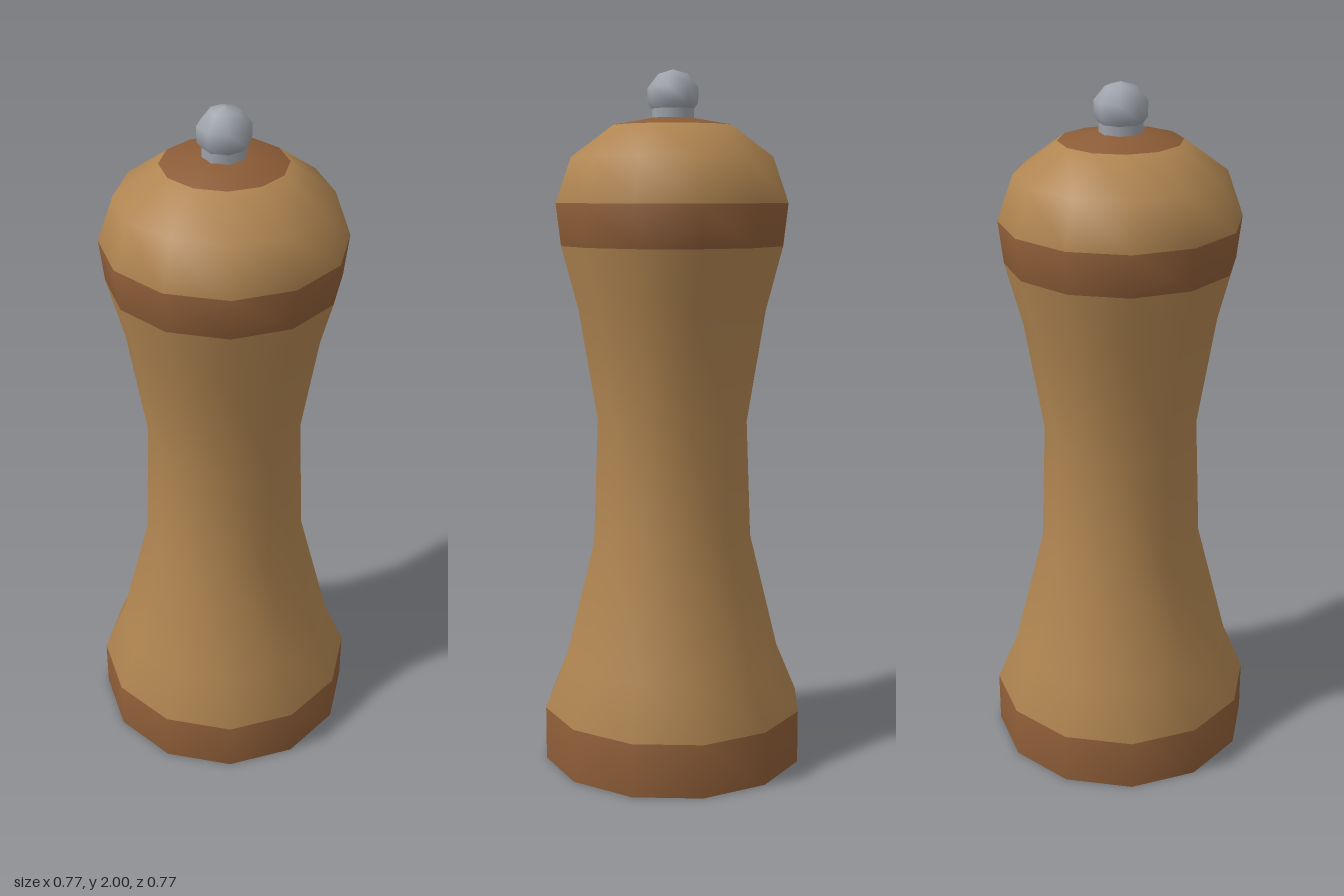
import * as THREE from 'three';

const material = (name, color) => {
  const m = new THREE.MeshStandardMaterial({ color });
  m.name = name;
  return m;
};

const lathe = (profile, sides, start = 0) =>
  new THREE.LatheGeometry(profile.map(([r, y]) => new THREE.Vector2(r, y)), sides, start);

export function createModel() {
  const lightWood = material('lightWood', 0xb08551);
  const darkWood = material('darkWood', 0x8c5c37);
  const metal = material('metal', 0x9fa3ab);
  const model = new THREE.Group();
  model.name = 'pepperMill';
  const add = (name, geometry, mat) => {
    const mesh = new THREE.Mesh(geometry, mat);
    mesh.name = name;
    model.add(mesh);
    return mesh;
  };

  // Turned body: radius, height, and colour of the ring above (0 light, 1 dark)
  const rings = [
    [0.384, 0, 1], [0.384, 0.155, 0], [0.323, 0.3, 0], [0.236, 0.65, 0],
    [0.222, 1.01, 0], [0.275, 1.33, 0], [0.323, 1.51, 1], [0.337, 1.63, 0],
    [0.292, 1.757, 0], [0.171, 1.846, 1], [0.05, 1.868, 1], [0, 1.868, 1],
  ];
  const sides = 12;
  const body = lathe(rings, sides);
  const bands = rings.length - 1;
  for (let i = 0; i < sides; i++) {
    for (let j = 0; j < bands; j++) body.addGroup((i * bands + j) * 6, 6, rings[j][2]);
  }
  add('body', body, [lightWood, darkWood]);

  // Underside
  add('underside', new THREE.CircleGeometry(0.384, sides).rotateX(Math.PI / 2), lightWood);

  // Metal collar and ball on top
  add('knobCollar', lathe([[0.06, 1.85], [0.06, 1.895]], 8, Math.PI / 8), metal);
  add('knob', lathe([
    [0, 1.875], [0.05, 1.88], [0.072, 1.907], [0.073, 1.95], [0.042, 1.988], [0, 2],
  ], 8, Math.PI / 8), metal);

  return model;
}
